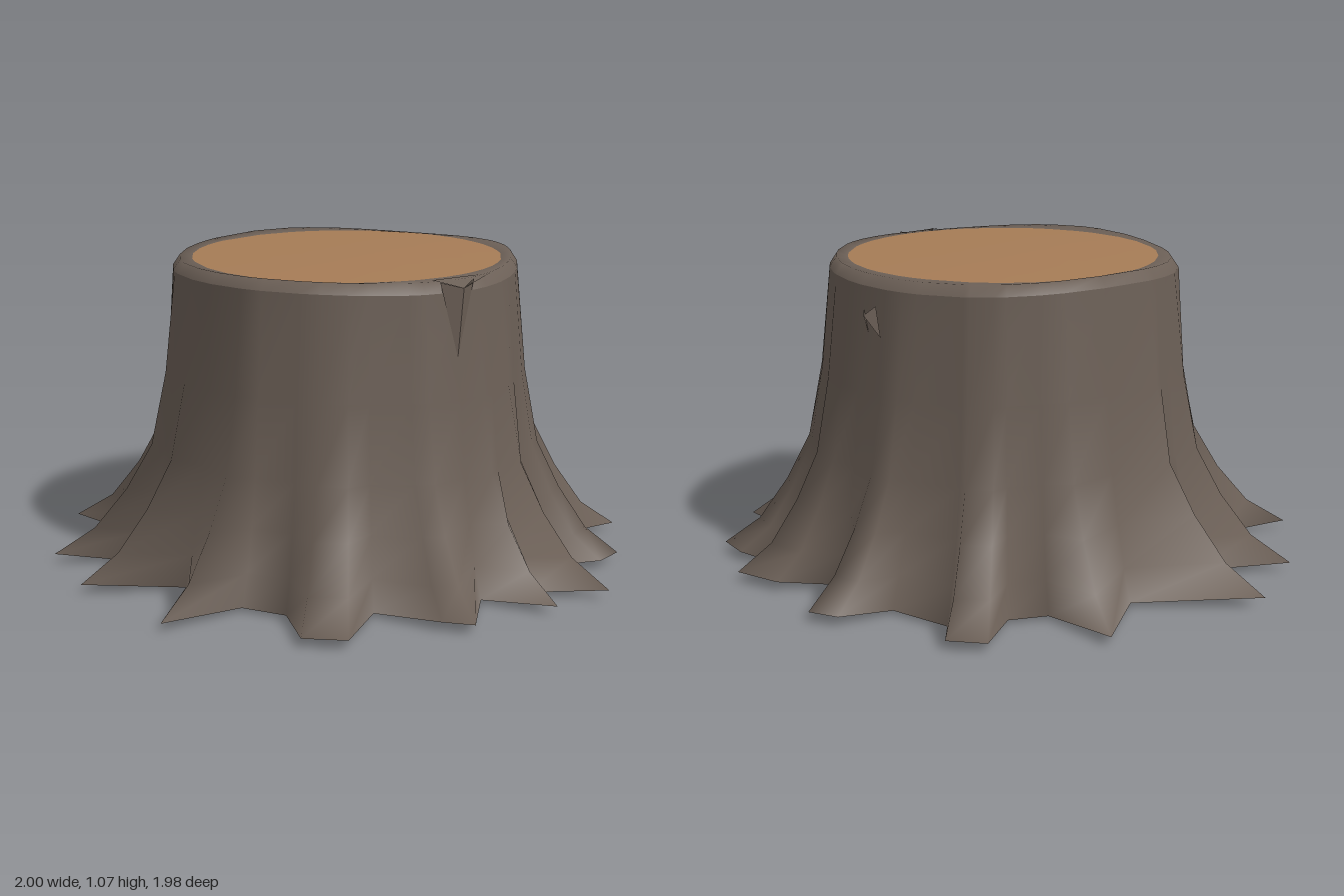
import * as THREE from 'three';

const CX = 0.025, CZ = 0.01;

// Root outline on the ground, clockwise from the back: x, z pairs
const ROOTS = [
  [0.01, -0.75], [0.26, -0.99], [0.30, -0.70], [0.43, -0.66], [0.61, -0.83], [0.71, -0.74],
  [0.62, -0.60], [0.70, -0.39], [0.90, -0.39], [0.96, -0.30], [0.74, -0.09], [0.93, 0.00],
  [1.00, 0.16], [0.82, 0.18], [0.91, 0.34], [0.91, 0.47], [0.62, 0.40], [0.69, 0.72],
  [0.58, 0.75], [0.37, 0.62], [0.40, 0.98], [0.21, 0.80], [0.16, 0.99], [0.03, 0.76],
  [-0.16, 0.96], [-0.23, 0.88], [-0.33, 0.65], [-0.56, 0.83], [-0.67, 0.73], [-0.57, 0.50],
  [-0.65, 0.36], [-0.96, 0.37], [-0.70, 0.09], [-1.00, -0.09], [-0.72, -0.25], [-0.93, -0.42],
  [-0.69, -0.36], [-0.55, -0.44], [-0.65, -0.78], [-0.37, -0.63], [-0.32, -0.73], [-0.36, -0.99],
];

// Ring of radius r at height y, pulled towards the root outline by w
function ring(y, r, w = 0, wave = 0) {
  return ROOTS.map(([x, z]) => {
    const a = Math.atan2(z - CZ, x - CX);
    const bump = 1 + (w < 1 ? wave * Math.sin(a * 5 + 1) : 0);
    const px = CX + Math.cos(a) * r * bump, pz = CZ + Math.sin(a) * r * bump;
    const lift = w === 1 && Math.hypot(x, z) > 0.88 ? 0.02 : 0;
    return [px + (x - px) * w, y + lift + wave * 0.6 * Math.sin(a * 3), pz + (z - pz) * w];
  });
}

// Skin a stack of rings, listed from the bottom centre outwards and upwards
function skin(rings) {
  const n = ROOTS.length, index = [];
  for (let k = 0; k < rings.length - 1; k++) {
    for (let i = 0; i < n; i++) {
      const j = (i + 1) % n;
      const a = k * n + i, b = k * n + j, c = a + n, d = b + n;
      index.push(a, c, b, b, c, d);
    }
  }
  const g = new THREE.BufferGeometry();
  g.setAttribute('position', new THREE.Float32BufferAttribute(rings.flat(2), 3));
  g.setIndex(index);
  g.computeVertexNormals();
  return g;
}

// Thin triangular flake
function flake(points) {
  const g = new THREE.BufferGeometry();
  g.setAttribute('position', new THREE.Float32BufferAttribute(points.flat(), 3));
  g.computeVertexNormals();
  return g;
}

export function createModel() {
  const model = new THREE.Group();
  const bark = new THREE.MeshStandardMaterial({ color: 0x6b5f56 });
  const wood = new THREE.MeshStandardMaterial({ color: 0xa67c56 });
  const flakeBark = new THREE.MeshStandardMaterial({ color: 0x6b5f56, side: THREE.DoubleSide });
  bark.name = 'bark';
  wood.name = 'cutWood';
  flakeBark.name = 'barkFlake';

  const add = (name, geometry, material) => {
    const mesh = new THREE.Mesh(geometry, material);
    mesh.name = name;
    model.add(mesh);
  };

  // Trunk flaring into the roots
  add('trunkAndRoots', skin([
    ring(0.012, 0.62, 1),
    ring(0.12, 0.65, 0.64),
    ring(0.26, 0.645, 0.36, 0.008),
    ring(0.42, 0.635, 0.15, 0.012),
    ring(0.68, 0.62, 0.05, 0.014),
    ring(1.03, 0.602, 0, 0.012),
  ]), bark);

  // Rounded bark lip around the cut
  add('barkRim', skin([
    ring(1.03, 0.602, 0, 0.012),
    ring(1.066, 0.578, 0, 0.012),
    ring(1.062, 0.538),
  ]), bark);

  // Sawn top and the flat underside with its wood core
  add('cutTop', skin([ring(1.062, 0.538), ring(1.068, 0.3), ring(1.068, 0)]), wood);
  add('underside', skin([ring(0, 0.4), ring(0.012, 0.62, 1)]), bark);
  add('woodCore', skin([ring(0, 0), ring(0, 0.4)]), wood);

  // Split bark at the front and a small chip on the left side
  add('frontSplit', flake([
    [-0.04, 1.06, 0.61], [0.02, 0.81, 0.632], [0.03, 1.04, 0.645],
    [0.03, 1.04, 0.645], [0.02, 0.81, 0.632], [0.10, 1.06, 0.61],
    [-0.05, 1.065, 0.58], [0.03, 1.04, 0.645], [0.20, 1.06, 0.57],
  ]), flakeBark);
  add('sideChip', flake([
    [0.62, 0.95, -0.08], [0.655, 0.94, -0.14], [0.62, 0.87, -0.11],
    [0.655, 0.94, -0.14], [0.62, 0.97, -0.16], [0.62, 0.87, -0.19],
  ]), flakeBark);

  return model;
}
